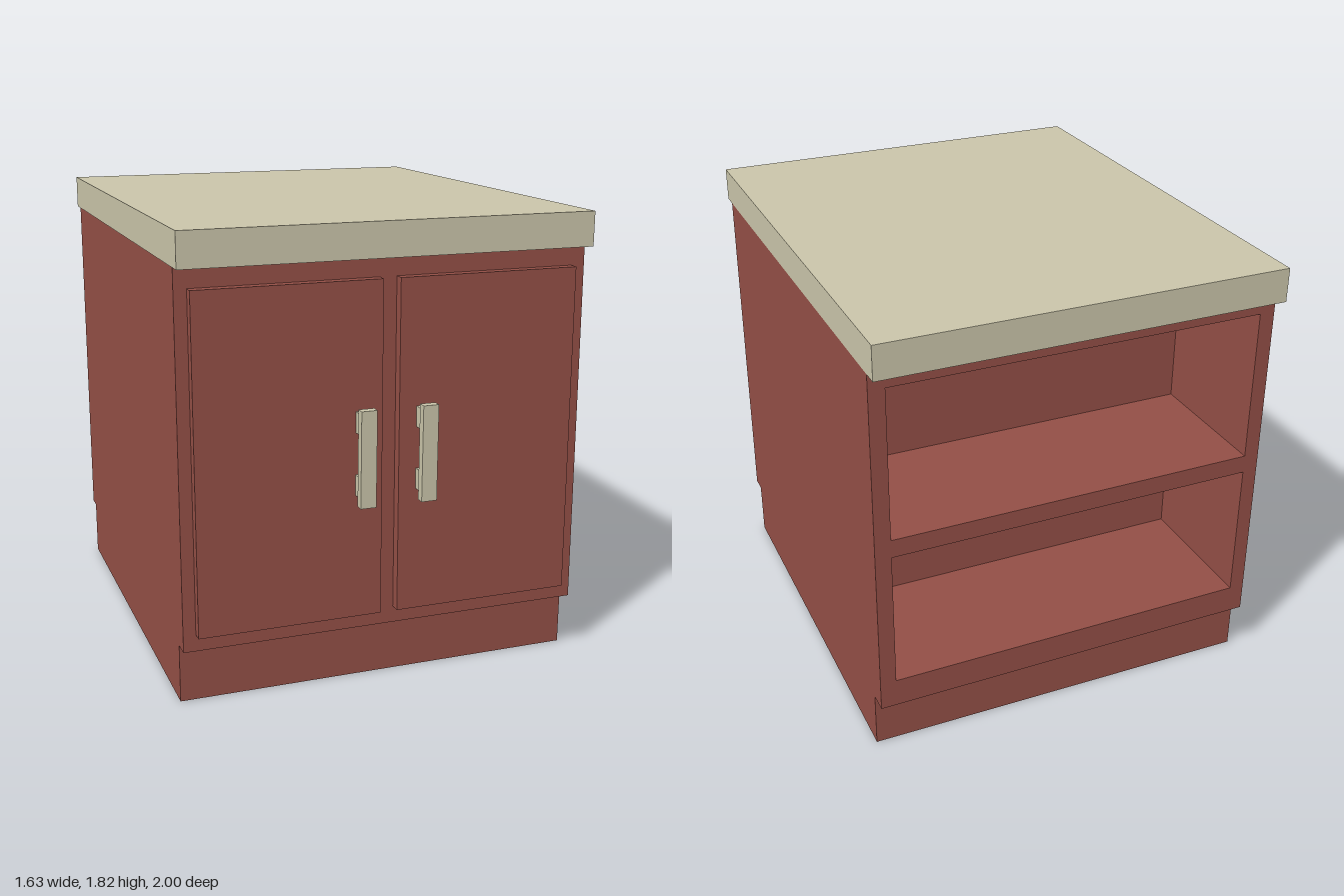
import * as THREE from 'three';

const cabinetRed = new THREE.MeshStandardMaterial({ name: 'cabinet red', color: 0x934f46 });
const cream = new THREE.MeshStandardMaterial({ name: 'cream', color: 0xcac5aa });

// Box given by its limits on each axis; shift(x, y, z) optionally returns a z offset per vertex
function block(name, material, [x0, x1], [y0, y1], [z0, z1], shift) {
  const geometry = new THREE.BoxGeometry(x1 - x0, y1 - y0, z1 - z0);
  geometry.translate((x0 + x1) / 2, (y0 + y1) / 2, (z0 + z1) / 2);
  if (shift) {
    const p = geometry.attributes.position;
    for (let i = 0; i < p.count; i++) {
      p.setZ(i, p.getZ(i) + shift(p.getX(i), p.getY(i), p.getZ(i)));
    }
    geometry.computeVertexNormals();
  }
  const mesh = new THREE.Mesh(geometry, material);
  mesh.name = name;
  return mesh;
}

function rectangle(path, x0, x1, y0, y1) {
  path.moveTo(x0, y0);
  path.lineTo(x1, y0);
  path.lineTo(x1, y1);
  path.lineTo(x0, y1);
  path.closePath();
  return path;
}

export function createModel() {
  const model = new THREE.Group();
  model.name = 'kitchenCabinet';
  const side = [-0.812, 0.812];
  const shelfBack = -0.365, rear = -0.938;

  // Recessed plinth, its rear slightly out of square
  model.add(block('plinth', cabinetRed, side, [0, 0.232], [-0.876, 0.808],
    (x, y, z) => (z < 0 && x > 0 ? 0.015 : 0)));

  // Front half of the body, its face leaning back a little
  model.add(block('body', cabinetRed, side, [0.232, 1.68], [shelfBack, 0.876],
    (x, y, z) => (z > 0 && y > 1 ? -0.015 : 0)));

  // Rear half with two open shelves
  const frame = rectangle(new THREE.Shape(), ...side, 0.232, 1.68);
  for (const [y0, y1] of [[0.35, 0.92], [0.995, 1.615]]) {
    frame.holes.push(rectangle(new THREE.Path(), -0.75, 0.748, y0, y1));
  }
  const shelves = new THREE.Mesh(
    new THREE.ExtrudeGeometry(frame, { depth: shelfBack - rear, bevelEnabled: false }), cabinetRed);
  shelves.position.z = rear;
  shelves.name = 'rearShelves';
  model.add(shelves);

  // Worktop
  model.add(block('worktop', cream, [-0.814, 0.812], [1.68, 1.815], [-1, 0.925]));

  // Doors, leaning with the face, each with a bar handle on two posts
  for (const [name, x0, x1, grip] of [['right', -0.763, -0.037, -0.126], ['left', 0.031, 0.756, 0.119]]) {
    model.add(block(name + 'Door', cabinetRed, [x0, x1], [0.298, 1.602], [0.85, 0.916],
      (x, y, z) => (z > 0.9 && y > 1 ? -0.014 : 0)));
    const handle = new THREE.Group();
    handle.name = name + 'Handle';
    handle.add(block('bar', cream, [grip - 0.031, grip + 0.031], [0.763, 1.137], [0.967, 1]));
    for (const y of [0.828, 1.072]) {
      handle.add(block('post', cream, [grip - 0.018, grip + 0.018], [y - 0.04, y + 0.04], [0.89, 0.967]));
    }
    model.add(handle);
  }
  return model;
}
